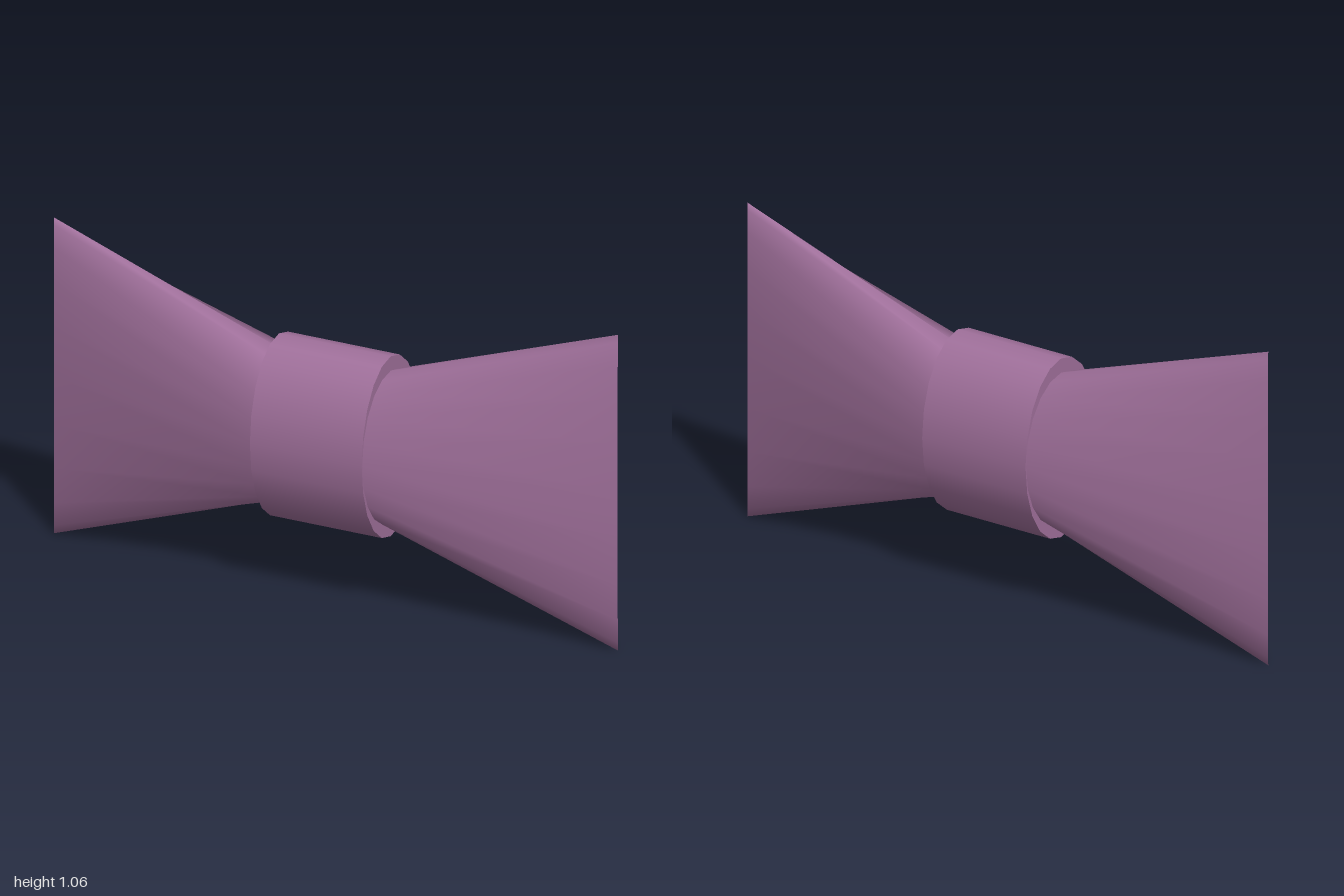
import * as THREE from 'three';
import { mergeVertices } from 'three/addons/utils/BufferGeometryUtils.js';

const SIDES = 20;
const CENTRE_Y = 0.535;

// Fan running along +x: an oval at the knot that widens and flattens to a thin edge
function fanGeometry(tipShift) {
  const geo = new THREE.CylinderGeometry(1, 1, 1, SIDES, 1, true);
  geo.rotateZ(-Math.PI / 2);
  geo.deleteAttribute('uv');
  geo.deleteAttribute('normal');
  const p = geo.attributes.position;
  for (let i = 0; i < p.count; i++) {
    const t = p.getX(i) + 0.5;
    p.setXYZ(
      i,
      THREE.MathUtils.lerp(0.195, 1, t),
      p.getY(i) * THREE.MathUtils.lerp(0.253, 0.53, t),
      p.getZ(i) * THREE.MathUtils.lerp(0.187, 0.002, t) + tipShift * t
    );
  }
  const welded = mergeVertices(geo);
  welded.computeVertexNormals();
  return welded;
}

export function createModel() {
  const model = new THREE.Group();
  model.name = 'bow';
  const mauve = new THREE.MeshStandardMaterial({ color: 0xa0709b });
  mauve.name = 'mauve';

  // Oval centre knot with flat ends
  const knotGeo = new THREE.CylinderGeometry(1, 1, 0.395, SIDES);
  knotGeo.rotateZ(-Math.PI / 2);
  knotGeo.scale(1, 0.302, 0.19);
  const knot = new THREE.Mesh(knotGeo, mauve);
  knot.name = 'knot';
  knot.position.y = CENTRE_Y;
  model.add(knot);

  // Flared fans on both sides, the right one ending slightly further back
  for (const [name, turn, tipShift] of [['leftFan', 0, 0], ['rightFan', Math.PI, 0.015]]) {
    const fan = new THREE.Mesh(fanGeometry(tipShift), mauve);
    fan.name = name;
    fan.rotation.y = turn;
    fan.position.y = CENTRE_Y;
    model.add(fan);
  }
  return model;
}
